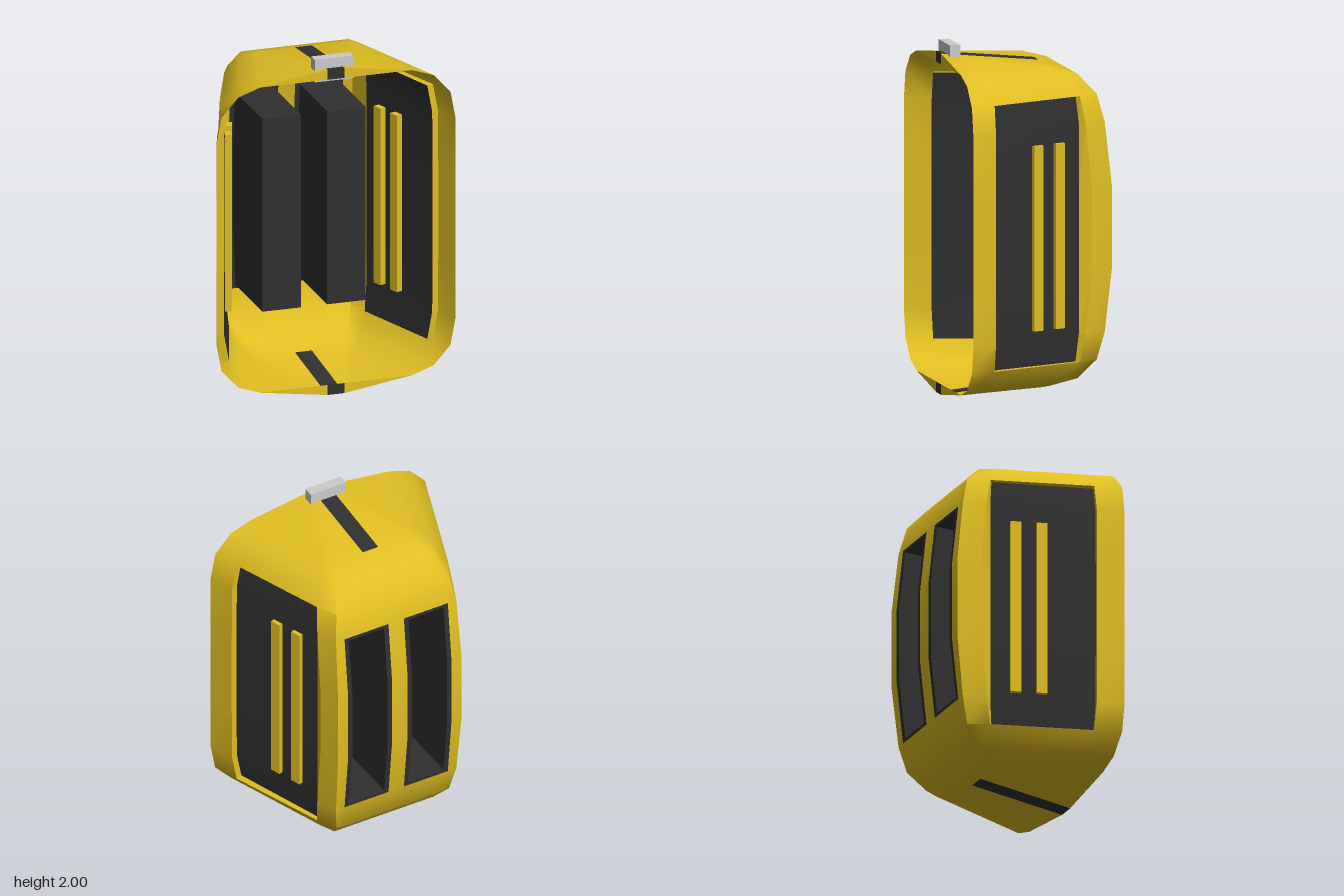
import * as THREE from 'three';
import { toCreasedNormals, mergeGeometries } from 'three/addons/utils/BufferGeometryUtils.js';

const H = 1.945; // shell height
const RIM = 0.45; // z of the open front

const mat = (color) => new THREE.MeshStandardMaterial({ color, side: THREE.DoubleSide });

// Quad surface through a grid of points, leaving out cells where skip(row, col) is true
function gridGeometry(rows, skip = () => false) {
  const out = [];
  for (let i = 0; i < rows.length - 1; i++) {
    for (let j = 0; j < rows[i].length - 1; j++) {
      if (skip(i, j)) continue;
      const a = rows[i][j], b = rows[i][j + 1], c = rows[i + 1][j + 1], d = rows[i + 1][j];
      out.push(...a, ...b, ...c, ...a, ...c, ...d);
    }
  }
  const g = new THREE.BufferGeometry();
  g.setAttribute('position', new THREE.Float32BufferAttribute(out, 3));
  g.computeVertexNormals();
  return g;
}

// Horizontal section of the shell: rim, side, rear corner, back, then mirrored
function section([y, xr, xs, zs, xb, zb]) {
  const t = Math.min((RIM - 0.302) / (RIM - zs), 0.3);
  const half = [
    [xr, y, RIM], [xr + (xs - xr) * t, y, RIM + (zs - RIM) * t], [xs, y, zs],
    [xb, y, zb], [Math.min(0.335, xb * 0.87), y, zb], [0.05, y, zb],
  ];
  return [...half, ...half.map(([x, v, z]) => [-x, v, z]).reverse()];
}

// Closed outline of a hole between two columns of the shell grid
function holeLoop(rows, r0, r1, c0, c1) {
  const loop = [];
  for (let i = r0; i <= r1; i++) loop.push(rows[i][c0]);
  for (let i = r1; i >= r0; i--) loop.push(rows[i][c1]);
  return [...loop, loop[0]];
}

export function createModel() {
  const model = new THREE.Group();
  const yellow = mat(0xe0be22), dark = mat(0x303030), grey = mat(0xcccccc);
  const add = (name, geometry, material) => {
    const mesh = new THREE.Mesh(geometry, material);
    mesh.name = name;
    model.add(mesh);
    return mesh;
  };

  // Levels of the upper half: y, rim x, side corner x and z, back corner x and z
  const upper = [
    [1.2, 0.71, 0.44, -0.32, 0.4, -0.45],
    [1.57, 0.71, 0.44, -0.285, 0.39, -0.41],
    [1.73, 0.68, 0.425, -0.255, 0.365, -0.37],
    [1.84, 0.58, 0.36, -0.185, 0.32, -0.27],
    [1.885, 0.45, 0.3, -0.07, 0.27, -0.12],
    [H, 0.05, 0.05, RIM, 0.05, RIM],
  ];
  const lower = upper.map(([y, ...rest]) => [H - y, ...rest]).reverse();
  const rows = [...lower, ...upper].map(section);
  // Both ends close to a short ridge on the rim
  for (const row of [rows[0], rows[11]]) {
    row.forEach((p, j) => { row[j] = [j < 6 ? 0.05 : -0.05, p[1], RIM]; });
  }

  // Shell with openings for side panels, rear pockets and centre stripes
  const isStripe = (i, j) => j === 5 && (i === 0 || i === 10);
  const isSide = (i, j) => (j === 1 || j === 9) && i >= 3 && i <= 7;
  const isPocket = (i, j) => (j === 4 || j === 6) && i >= 4 && i <= 6;
  const shell = gridGeometry(rows, (i, j) => isStripe(i, j) || isSide(i, j) || isPocket(i, j));
  add('shell', toCreasedNormals(shell, 0.95), yellow);

  // Top and bottom stripes, with the lips closing the ridges at the front
  for (const [name, peak, base] of [['top', H, 1.885], ['bottom', 0, H - 1.885]]) {
    const stripe = gridGeometry([
      [[0.05, base, RIM], [-0.05, base, RIM]],
      [[0.05, peak, RIM], [-0.05, peak, RIM]],
      [[0.05, base, -0.12], [-0.05, base, -0.12]],
    ]);
    add(name + 'Stripe', stripe, dark);
    for (const s of [1, -1]) {
      const lip = gridGeometry([
        [[0.05 * s, base, RIM], [0.45 * s, base, RIM]],
        [[0.05 * s, peak, RIM], [0.05 * s, peak, RIM]],
      ]);
      add(name + 'Lip', lip, yellow);
    }
  }

  for (const s of [1, -1]) {
    const side = s > 0 ? 'left' : 'right';
    const mirror = ([x, y, z]) => [x * s, y, z];

    // Recessed side panel and its frame, which slopes in at the rear
    const sink = ([x, y, z]) => (z > 0 ? [x - 0.038, y, z + 0.012] : [x - 0.022, y, Math.max(z + 0.02, -0.25)]);
    const frame = holeLoop(rows, 3, 8, 1, 2);
    add(side + 'PanelFrame', gridGeometry([frame.map(mirror), frame.map(sink).map(mirror)]), yellow);
    const panel = rows.slice(3, 9).map((r) => [r[1], r[2]].map(sink).map(mirror));
    add(side + 'Panel', toCreasedNormals(gridGeometry(panel), 0.7), dark);

    // Upright bars set through the panel
    for (const [x, z] of [[0.51, 0.027], [0.46, -0.113]]) {
      const bar = add(side + 'PanelBar', new THREE.BoxGeometry(0.062, 1.055, 0.062), yellow);
      bar.position.set(x * s, 0.948, z);
      bar.rotation.y = s * 0.34;
    }

    // Rear pocket: flush rim, straight walls and floor
    const inset = ([x, y, z]) => [0.1925 + (x - 0.1925) * 0.8, H / 2 + (y - H / 2) * 0.965, z];
    const deep = (p) => [...inset(p).slice(0, 2), 0.065];
    const mouth = holeLoop(rows, 4, 7, 4, 5);
    const walls = gridGeometry([mouth, mouth.map(inset), mouth.map(deep)].map((l) => l.map(mirror)));
    const floor = gridGeometry(rows.slice(4, 8).map((r) => [r[4], r[5]].map(deep).map(mirror)));
    add(side + 'Pocket', mergeGeometries([walls, floor]), dark);
  }

  // Crossbar on top near the front
  add('crossbar', new THREE.BoxGeometry(0.23, 0.135, 0.062), grey).position.set(0, 1.9325, 0.386);

  return model;
}
